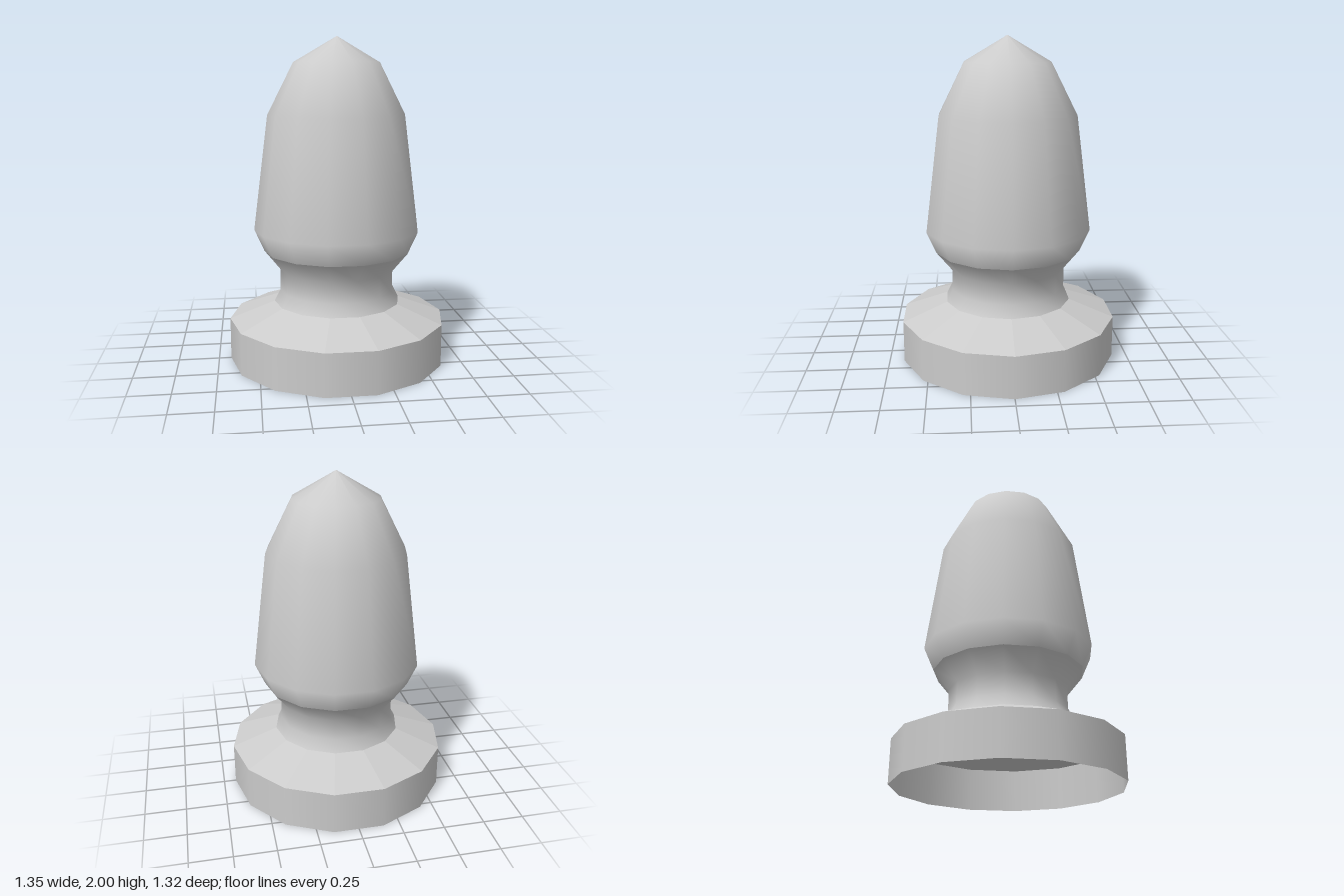
import * as THREE from 'three';

const SIDES = 14;

// Revolve a [radius, height] profile, with a corner of the polygon on the x axis
function turned(name, profile, flatShading = false) {
  const points = profile.map(([r, y]) => new THREE.Vector2(r, y));
  const geometry = new THREE.LatheGeometry(points, SIDES, Math.PI / 2);
  const material = new THREE.MeshStandardMaterial({
    color: 0xcccccc, flatShading, side: THREE.DoubleSide,
  });
  const mesh = new THREE.Mesh(geometry, material);
  mesh.name = name;
  return mesh;
}

export function createModel() {
  const model = new THREE.Group();
  model.name = 'turnedPeg';
  model.add(
    // Hollow base, open underneath
    turned('baseWall', [[0.675, 0], [0.675, 0.26]]),
    // Faceted slope from the base up to the neck
    turned('baseShoulder', [[0.675, 0.26], [0.395, 0.365]], true),
    // Narrow waist flaring out to the body
    turned('neck', [[0.395, 0.365], [0.358, 0.44], [0.358, 0.57], [0.455, 0.69]]),
    // Tapered body closing to a blunt point
    turned('body', [[0.455, 0.69], [0.515, 0.825], [0.425, 1.53], [0.265, 1.845], [0, 2]]),
  );
  return model;
}
